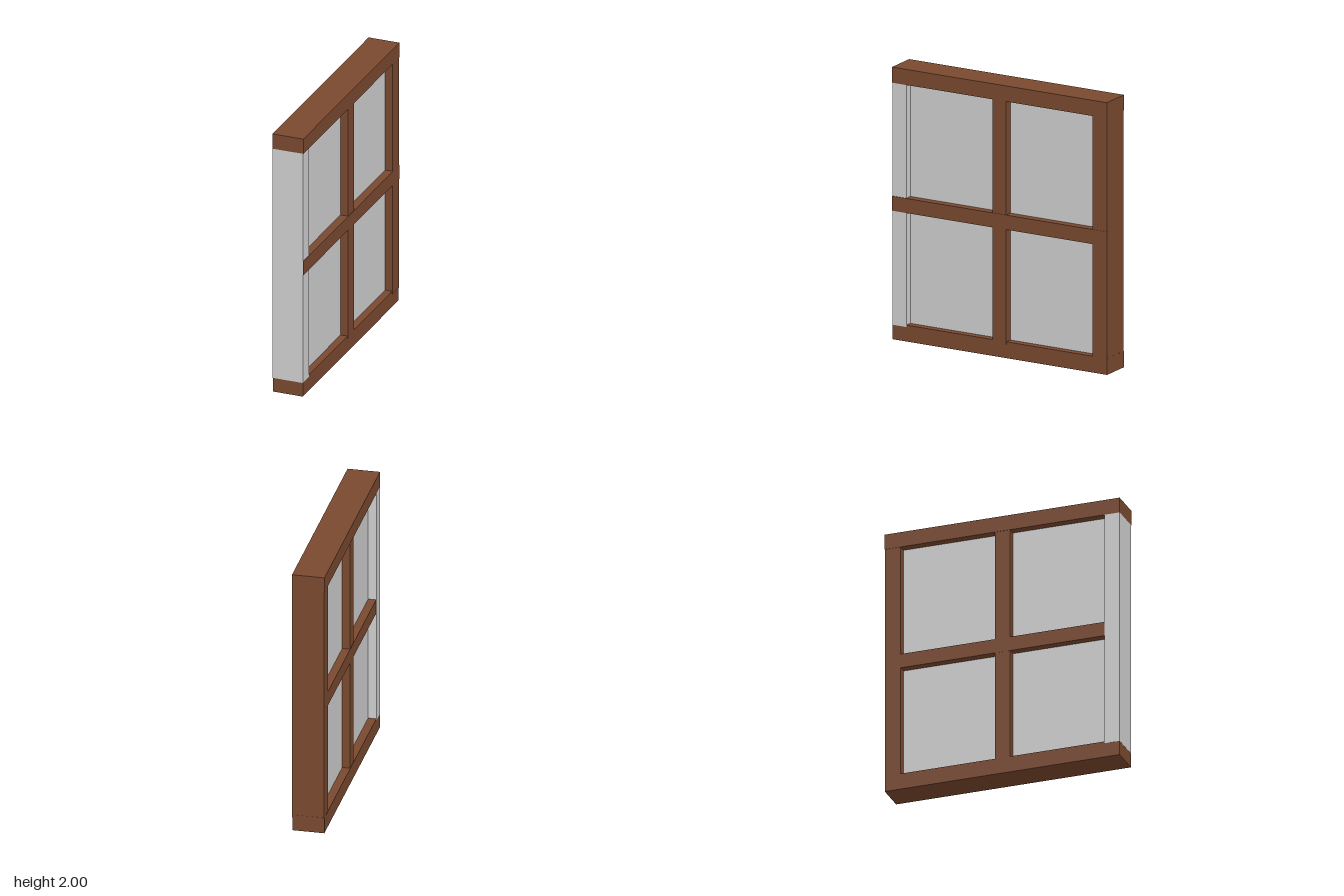
import * as THREE from 'three';

export function createModel() {
  const group = new THREE.Group();
  group.name = 'windowFrame';

  const wood = new THREE.MeshStandardMaterial({ color: 0x7a492f });
  wood.name = 'brownWood';
  const pale = new THREE.MeshStandardMaterial({ color: 0xd0d0d0 });
  pale.name = 'paleGrey';

  // Box given by its limits on each axis
  function addBox(name, material, [x0, x1], [y0, y1], [z0, z1]) {
    const geometry = new THREE.BoxGeometry(x1 - x0, y1 - y0, z1 - z0);
    const mesh = new THREE.Mesh(geometry, material);
    mesh.position.set((x0 + x1) / 2, (y0 + y1) / 2, (z0 + z1) / 2);
    mesh.name = name;
    group.add(mesh);
  }

  // Horizontal rails
  addBox('topRail', wood, [-0.118, 0.117], [1.885, 2], [-0.885, 0.885]);
  addBox('bottomRail', wood, [-0.117, 0.112], [0, 0.12], [-0.885, 0.884]);
  addBox('middleRail', wood, [-0.116, 0.118], [0.945, 1.052], [-0.882, 0.883]);

  // Upright posts; the front one is pale and hides the end of the middle rail
  addBox('backPost', wood, [-0.116, 0.116], [0.1, 1.89], [-0.884, -0.765]);
  addBox('centrePost', wood, [-0.115, 0.115], [0.1, 1.89], [-0.055, 0.058]);
  addBox('frontPost', pale, [-0.118, 0.113], [0.106, 1.886], [0.77, 0.885]);

  // Four panes, recessed equally on both faces
  for (const [row, y] of [['lower', [0.11, 0.955]], ['upper', [1.04, 1.89]]]) {
    for (const [side, z] of [['Front', [0.05, 0.775]], ['Back', [-0.77, -0.045]]]) {
      addBox(row + side + 'Pane', pale, [-0.058, 0.058], y, z);
    }
  }

  return group;
}
